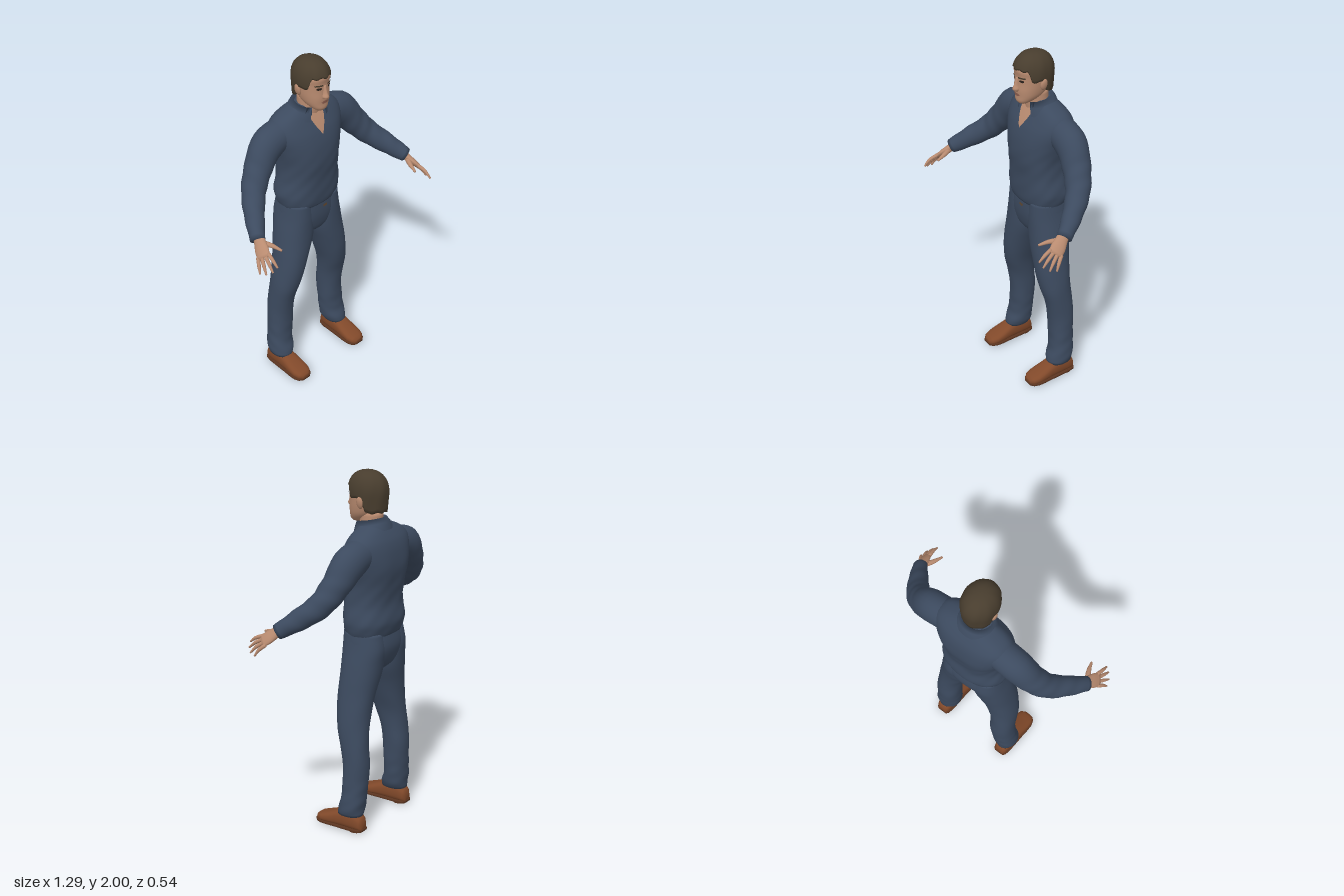
import * as THREE from 'three';

const mat = (name, color, side = THREE.FrontSide) => {
  const m = new THREE.MeshStandardMaterial({ color, side });
  m.name = name;
  return m;
};
const V = (x, y, z) => new THREE.Vector3(x, y, z);
const ss = THREE.MathUtils.smoothstep;

// Surface over a stack of point rings (or open rows)
function skin(rings, closed = true) {
  const n = rings[0].length, pos = [], idx = [];
  rings.forEach(r => r.forEach(p => pos.push(p.x, p.y, p.z)));
  for (let i = 0; i < rings.length - 1; i++) {
    for (let j = 0; j < (closed ? n : n - 1); j++) {
      const a = i * n + j, b = i * n + (j + 1) % n;
      idx.push(a, a + n, b, b, a + n, b + n);
    }
  }
  if (closed) {
    [0, rings.length - 1].forEach(i => {
      const c = V(0, 0, 0);
      rings[i].forEach(p => c.addScaledVector(p, 1 / n));
      const k = pos.length / 3;
      pos.push(c.x, c.y, c.z);
      for (let j = 0; j < n; j++) {
        const a = i * n + j, b = i * n + (j + 1) % n;
        if (i === 0) idx.push(k, a, b); else idx.push(k, b, a);
      }
    });
  }
  const g = new THREE.BufferGeometry();
  g.setAttribute('position', new THREE.Float32BufferAttribute(pos, 3));
  g.setIndex(idx);
  g.computeVertexNormals();
  return g;
}

function mirrored(g) {
  const m = g.clone().scale(-1, 1, 1), a = m.index.array;
  for (let i = 0; i < a.length; i += 3) [a[i], a[i + 1]] = [a[i + 1], a[i]];
  m.computeVertexNormals();
  return m;
}

// Smooth lookup in rows of [y, xMin, xMax, zMin, zMax]
function at(rows, y) {
  let i = 0;
  while (i < rows.length - 2 && y > rows[i + 1][0]) i++;
  const h = rows[i + 1][0] - rows[i][0], t = (y - rows[i][0]) / h;
  const slope = (k, c) => {
    const a = rows[Math.max(0, k - 1)], b = rows[Math.min(rows.length - 1, k + 1)];
    return (b[c] - a[c]) / (b[0] - a[0]);
  };
  const [x0, x1, z0, z1] = [1, 2, 3, 4].map(c =>
    (1 + 2 * t) * (1 - t) ** 2 * rows[i][c] + t * (1 - t) ** 2 * h * slope(i, c)
    + t * t * (3 - 2 * t) * rows[i + 1][c] + t * t * (t - 1) * h * slope(i + 1, c));
  return { cx: (x0 + x1) / 2, cz: (z0 + z1) / 2, rx: (x1 - x0) / 2, rz: (z1 - z0) / 2 };
}

const sp = (v, p) => Math.sign(v) * Math.abs(v) ** (2 / p);

// Upright body volume with superellipse sections and optional cloth folds
function upright(rows, p = 2.3, steps = 40, fold = () => 0, n = 40) {
  const y0 = rows[0][0], y1 = rows[rows.length - 1][0], rings = [];
  for (let i = 0; i <= steps; i++) {
    const y = y0 + (y1 - y0) * i / steps, s = at(rows, y);
    rings.push(Array.from({ length: n }, (_, j) => {
      const a = j / n * Math.PI * 2, k = 1 + fold(y, a);
      return V(s.cx + s.rx * k * sp(Math.cos(a), p), y, s.cz + s.rz * k * sp(Math.sin(a), p));
    }));
  }
  return skin(rings);
}

// Thin painted detail lying on the front of an upright volume; outline rows are [y, xLeft, xRight]
function patch(rows, p, outline, lift = 0.004, n = 8) {
  return skin(outline.map(([y, xa, xb]) => Array.from({ length: n + 1 }, (_, j) => {
    const x = xb + (xa - xb) * j / n, s = at(rows, y);
    const d = Math.min(1, Math.abs((x - s.cx) / s.rx));
    return V(x, y, s.cz + s.rz * (1 - d ** p) ** (1 / p) + lift);
  })), false);
}

// Limb along points [x, y, z, radiusU, radiusV]
function limb(pts, steps = 12, n = 16, across = null, fold = () => 0) {
  const curve = new THREE.CatmullRomCurve3(pts.map(q => V(q[0], q[1], q[2])));
  const rings = [];
  for (let i = 0; i <= steps; i++) {
    const t = i / steps, f = t * (pts.length - 1), k = Math.min(pts.length - 2, Math.floor(f));
    const r = [3, 4].map(c => THREE.MathUtils.lerp(pts[k][c], pts[k + 1][c], f - k));
    const c = curve.getPoint(t), T = curve.getTangent(t);
    const u = across ? across.clone() : V(0, 1, 0).cross(T);
    u.addScaledVector(T, -u.dot(T)).normalize();
    const v = u.clone().cross(T);
    rings.push(Array.from({ length: n }, (_, j) => {
      const a = j / n * Math.PI * 2, w = 1 + fold(t, a);
      return c.clone().addScaledVector(u, r[0] * w * Math.cos(a)).addScaledVector(v, r[1] * w * Math.sin(a));
    }));
  }
  return skin(rings);
}

const TORSO = [
  [1.12, -.178, .178, -.24, .005], [1.15, -.188, .188, -.25, .012], [1.2, -.195, .195, -.26, .016],
  [1.3, -.18, .18, -.25, .02], [1.4, -.182, .182, -.262, .03], [1.5, -.205, .205, -.274, .024],
  [1.58, -.225, .225, -.264, .004], [1.64, -.222, .222, -.245, -.024], [1.68, -.185, .185, -.22, -.045],
  [1.71, -.12, .12, -.195, -.06], [1.73, -.07, .07, -.175, -.06]];
const PELVIS = [
  [.9, -.04, .04, -.17, -.06], [.94, -.12, .12, -.215, -.02], [1, -.18, .18, -.24, -.002],
  [1.06, -.188, .188, -.25, .004], [1.15, -.178, .178, -.235, 0]];
const LEG = [
  [.095, .162, .28, -.193, -.042], [.14, .142, .29, -.2, -.052], [.2, .138, .284, -.205, -.068],
  [.3, .13, .275, -.21, -.07], [.4, .126, .27, -.214, -.066], [.5, .122, .268, -.206, -.05],
  [.6, .106, .262, -.2, -.022], [.7, .076, .25, -.202, -.006], [.8, .044, .235, -.21, 0],
  [.9, .008, .22, -.226, 0], [.97, -.002, .208, -.235, 0], [1.05, 0, .192, -.244, 0], [1.14, .01, .178, -.23, -.004]];
const HEAD = [
  [1.722, -.028, .028, -.035, .014], [1.735, -.045, .045, -.075, .024], [1.765, -.066, .066, -.125, .025],
  [1.8, -.077, .077, -.16, .027], [1.84, -.083, .083, -.172, .024], [1.88, -.086, .086, -.178, .024],
  [1.92, -.086, .086, -.178, .026], [1.97, -.055, .055, -.14, -.015]];
const NECK = [[1.58, -.07, .07, -.16, -.045], [1.66, -.062, .062, -.16, -.04], [1.78, -.058, .058, -.165, -.03]];
const NOSE = [[1.795, -.01, .01, .005, .036], [1.806, -.019, .019, .003, .051], [1.83, -.012, .012, .005, .043], [1.872, -.008, .008, .005, .029]];

export function createModel() {
  const root = new THREE.Group();
  root.name = 'standingMan';
  const cloth = mat('navy cloth', 0x3c4a5f, THREE.DoubleSide);
  const flesh = mat('skin', 0xb98b70), hairMat = mat('dark brown hair', 0x483d2e);
  const leather = mat('brown leather', 0x81492a), soleMat = mat('dark sole', 0x5c3520);
  const eyeMat = mat('dark eye', 0x2a211c), lipMat = mat('lip', 0x8f5f50), brassMat = mat('belt brown', 0x5e4630);

  const add = (name, geo, m) => {
    const mesh = new THREE.Mesh(geo, m);
    mesh.name = name;
    root.add(mesh);
  };
  const pair = (name, geo, m) => {
    add('left' + name, geo, m);
    add('right' + name, mirrored(geo), m);
  };

  // Shirt and trousers
  add('shirt', upright(TORSO, 2.4, 60, (y, a) =>
    (1 - ss(y, 1.35, 1.55)) * .014 * Math.sin(7 * a + 30 * y) * Math.sin(28 * y + 2 * a)
    - .035 * ss(y, 1.2, 1.4) * (1 - ss(y, 1.5, 1.65)) * Math.max(0, -Math.sin(a)) ** 40), cloth);
  add('trouserSeat', upright(PELVIS, 2.4, 16), cloth);
  pair('TrouserLeg', upright(LEG, 2.2, 70, (y, a) =>
    .03 * (1 - ss(y, .12, .4)) * Math.sin(70 * y + 2 * Math.sin(a)) * Math.sin(2 * a + 1)
    + .012 * Math.sin(22 * y + 3 * a) * (1 - ss(y, .6, .9))), cloth);
  pair('Sleeve', limb([
    [.15, 1.59, -.14, .085, .085], [.265, 1.55, -.138, .085, .098], [.35, 1.455, -.118, .076, .078],
    [.425, 1.362, -.075, .066, .068], [.5, 1.285, .012, .054, .058], [.565, 1.218, .105, .04, .041]],
    36, 24, null, (t, a) => .025 * ss(t, .2, .5) * Math.sin(38 * t + 2 * a)), cloth);
  add('beltMark', patch(PELVIS, 2.4, [[1.093, .005, .03], [1.108, .005, .035]], .008), brassMat);
  add('beltBuckle', patch(PELVIS, 2.4, [[1.1, .115, .16], [1.118, .115, .16]], .009), brassMat);

  // Open collar with folded wings
  const collarRow = (rx, rz, cz, yf) => Array.from({ length: 33 }, (_, j) => {
    const gap = .5, a = -gap - j / 32 * (Math.PI * 2 - 2 * gap);
    return V(rx * Math.sin(a), yf((1 + Math.cos(a)) / 2), cz + rz * Math.cos(a));
  });
  add('collar', skin([
    collarRow(.125, .1, -.112, f => 1.695 - .05 * f ** 2),
    collarRow(.1, .091, -.106, f => 1.735 - .04 * f),
    collarRow(.08, .078, -.1, f => 1.758 - .03 * f),
    collarRow(.068, .068, -.1, f => 1.69 - .03 * f)], false), cloth);

  // Neck and open shirt front
  add('neck', upright(NECK, 2, 10), flesh);
  add('openNeckline', patch(TORSO, 2.4, [
    [1.572, -.001, .001], [1.6, -.018, .018], [1.63, -.034, .034], [1.66, -.046, .046], [1.69, -.05, .05]], .006), flesh);

  // Head and face
  add('head', upright(HEAD, 2.2, 30), flesh);
  add('nose', upright(NOSE, 2, 12, undefined, 16), flesh);
  pair('Ear', new THREE.SphereGeometry(1, 14, 10).scale(.012, .034, .021).rotateZ(-.2).translate(.089, 1.838, -.085), flesh);
  pair('Eye', patch(HEAD, 2.2, [[1.853, .027, .043], [1.859, .02, .05], [1.866, .026, .046]], .003), eyeMat);
  pair('Eyebrow', patch(HEAD, 2.2, [[1.874, .014, .055], [1.883, .016, .06]], .005), hairMat);
  add('lips', patch(HEAD, 2.2, [[1.768, -.014, .014], [1.777, -.026, .026], [1.784, -.013, .013]], .003), lipMat);

  // Hair cap: fringe in front, cut above the ears, longer at the nape
  const hairRings = [];
  for (let i = -1; i <= 16; i++) {
    const t = Math.max(0, i) / 16;
    hairRings.push(Array.from({ length: 56 }, (_, j) => {
      const a = j / 56 * Math.PI * 2, f = Math.sin(a);
      const low = 1.785 + .075 * ss(f, -.38, -.1) + .06 * ss(f, .5, .7) + .004 * Math.sin(11 * a);
      const y = low + (2 - low) * Math.sin(t * Math.PI / 2);
      let k = y > 1.88 ? Math.max(0, 1 - ((y - 1.88) / .12) ** 2.3) ** (1 / 2.3) : 1 - .7 * (1.88 - y);
      k *= i < 0 ? .82 : 1 + .008 * Math.sin(9 * a + 20 * y);
      return V(.097 * k * Math.cos(a), y, -.078 + .117 * k * f);
    }));
  }
  add('hair', skin(hairRings), hairMat);

  // Hands
  const across = V(.53, -.53, -.67), knuckle = V(.589, 1.167, .172);
  pair('Palm', limb([
    [.548, 1.234, .085, .028, .022], [.562, 1.208, .12, .034, .021],
    [.578, 1.185, .15, .041, .018], [.594, 1.16, .182, .039, .012]], 10, 16, across), flesh);
  const tips = [[.582, 1.138, .272], [.605, 1.113, .262], [.628, 1.096, .236], [.639, 1.088, .2]];
  tips.forEach((tip, i) => {
    const b = knuckle.clone().addScaledVector(across, -.031 + i * .021);
    const m = b.clone().lerp(V(...tip), .55).add(V(.003, .006, .002));
    pair('Finger' + (i + 1), limb([
      [b.x, b.y, b.z, .011, .011], [m.x, m.y, m.z, .0095, .0095], [...tip, .005, .005]], 8, 10, across), flesh);
  });
  pair('Thumb', limb([
    [.557, 1.207, .122, .017, .016], [.528, 1.2, .175, .013, .012], [.51, 1.187, .228, .006, .006]], 8, 10), flesh);

  // Shoes: rows of [z, half width, top height]
  const shoe = [[-.206, .026, .065], [-.195, .038, .09], [-.16, .046, .115], [-.09, .05, .118], [-.04, .052, .1],
    [.01, .056, .078], [.05, .056, .062], [.08, .046, .052], [.096, .026, .04]];
  const shoeRings = (yLow, top, grow) => shoe.map(([z, w, h]) => Array.from({ length: 24 }, (_, j) => {
    const a = j / 24 * Math.PI * 2, hi = top ?? h, r = (hi - yLow) / 2;
    const p = top ? 8 : 2.6;
    return V(.222 - (w + grow) * sp(Math.cos(a), p), yLow + r + r * sp(Math.sin(a), p), z + grow * Math.sign(z));
  }));
  pair('Shoe', skin(shoeRings(.008, null, 0)), leather);
  pair('Sole', skin(shoeRings(.006, .02, .003)), soleMat);
  pair('Heel', new THREE.CylinderGeometry(.044, .044, .02, 20).scale(1, 1, 1.05).translate(.222, .01, -.157), soleMat);

  return root;
}
